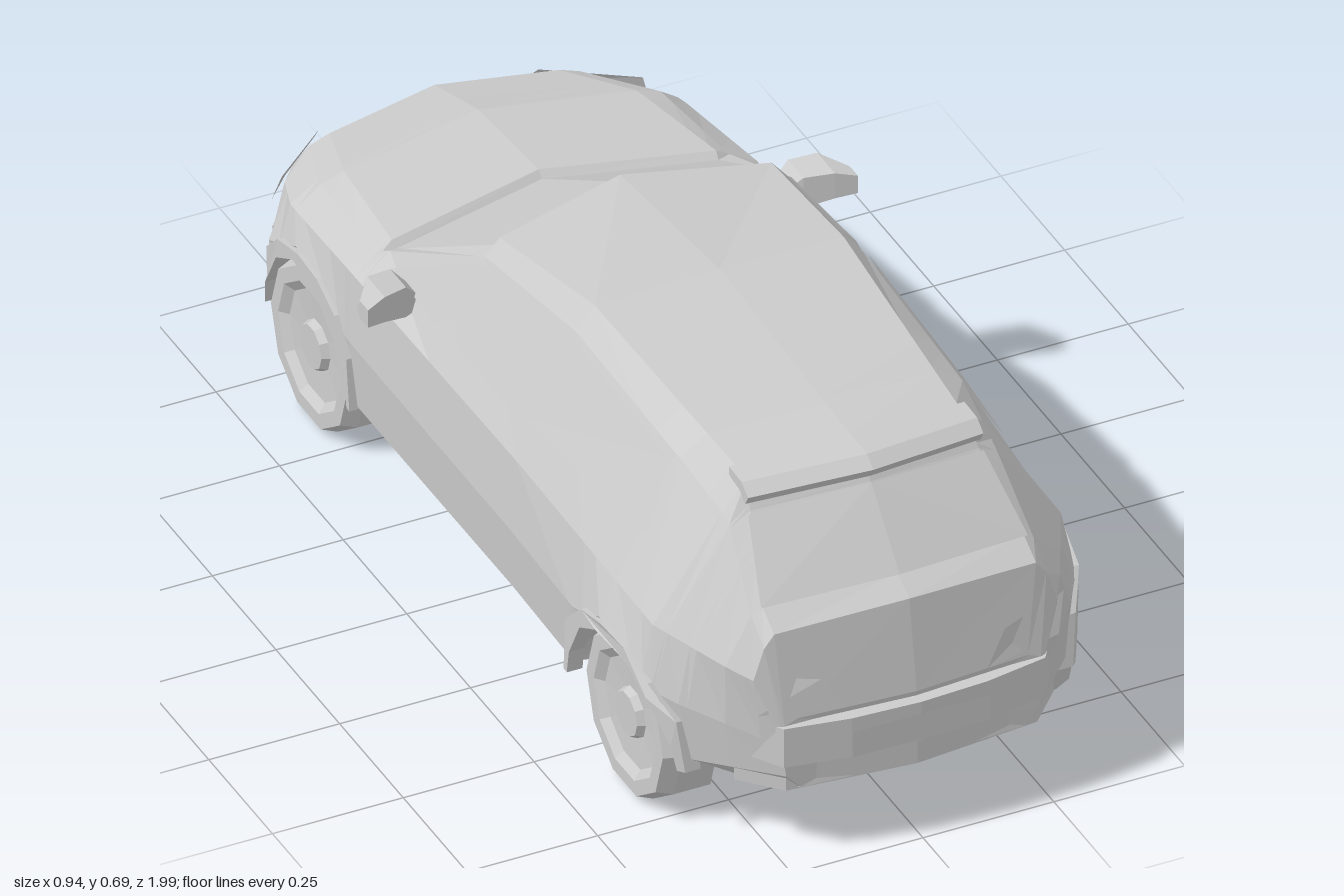
import * as THREE from 'three';

const grey = new THREE.MeshStandardMaterial({ color: 0xcccccc, flatShading: true, side: THREE.DoubleSide });
const AXLES = [-0.6, 0.64];

// piecewise linear curve through [z, value] keys
function curve(keys) {
  return z => {
    if (z <= keys[0][0]) return keys[0][1];
    for (let i = 1; i < keys.length; i++) {
      const [z0, a] = keys[i - 1], [z1, b] = keys[i];
      if (z <= z1) return a + (b - a) * (z - z0) / (z1 - z0);
    }
    return keys[keys.length - 1][1];
  };
}

// body curves along the length: half widths and heights
const floorY = curve([[-0.97, 0.115], [-0.77, 0.1], [-0.42, 0.115], [0.46, 0.125], [0.8, 0.13], [0.96, 0.145]]);
const width = curve([[-0.97, 0.21], [-0.9, 0.285], [-0.82, 0.35], [-0.77, 0.39], [-0.4, 0.402], [0.3, 0.405], [0.6, 0.418], [0.75, 0.41], [0.79, 0.395], [0.89, 0.31], [0.96, 0.25]]);
const midY = curve([[-0.97, 0.22], [-0.77, 0.27], [0.79, 0.28], [0.96, 0.24]]);
const beltX = curve([[-0.97, 0.205], [-0.9, 0.275], [-0.82, 0.335], [-0.72, 0.372], [-0.45, 0.388], [0.74, 0.39], [0.88, 0.32], [0.93, 0.29], [0.96, 0.25]]);
const beltY = curve([[-0.97, 0.27], [-0.88, 0.33], [-0.72, 0.37], [-0.45, 0.4], [0.2, 0.41], [0.74, 0.4], [0.93, 0.37], [0.96, 0.27]]);
const railX = curve([[-0.97, 0.2], [-0.88, 0.26], [-0.7, 0.325], [-0.45, 0.335], [-0.13, 0.287], [0.2, 0.275], [0.6, 0.27], [0.76, 0.255], [0.88, 0.27], [0.93, 0.27], [0.96, 0.245]]);
const railY = curve([[-0.97, 0.28], [-0.88, 0.36], [-0.7, 0.41], [-0.45, 0.43], [-0.13, 0.6], [0.2, 0.645], [0.6, 0.625], [0.76, 0.59], [0.88, 0.47], [0.93, 0.43], [0.96, 0.28]]);
const edgeX = curve([[-0.97, 0.18], [-0.88, 0.22], [-0.7, 0.28], [-0.45, 0.31], [-0.13, 0.26], [0.2, 0.238], [0.74, 0.21], [0.88, 0.25], [0.93, 0.25], [0.96, 0.22]]);
// the screens sit a small step below the bonnet and roof
const edgeY = curve([[-0.97, 0.29], [-0.88, 0.375], [-0.7, 0.425], [-0.45, 0.445], [-0.437, 0.434], [-0.145, 0.608], [-0.13, 0.632], [0.2, 0.687], [0.74, 0.652], [0.77, 0.605], [0.88, 0.485], [0.93, 0.455], [0.96, 0.29]]);
const crownY = curve([[-0.97, 0.3], [-0.94, 0.33], [-0.88, 0.385], [-0.7, 0.44], [-0.45, 0.462], [-0.437, 0.45], [-0.145, 0.624], [-0.13, 0.648], [0.2, 0.692], [0.74, 0.662], [0.77, 0.615], [0.88, 0.49], [0.93, 0.465], [0.96, 0.29]]);
const bow = curve([[-0.97, -0.02], [-0.88, -0.04], [-0.45, -0.06], [-0.13, -0.06], [0.2, 0], [0.74, 0.025], [0.96, 0.015]]);

// wheel opening as [distance from axle, height]
const ARCH = [[-0.185, 0], [-0.172, 0.2], [-0.125, 0.28], [-0.055, 0.318], [0.055, 0.318], [0.125, 0.28], [0.172, 0.2], [0.185, 0]];
const archY = curve(ARCH);

function section(z) {
  const axle = AXLES.find(a => Math.abs(z - a) < 0.186);
  const fy = floorY(z), w = width(z), c = z + bow(z);
  const opening = axle === undefined ? 0 : archY(z - axle);
  const sill = Math.max(fy + 0.03, opening);
  const inner = axle === undefined ? w - 0.035 : 0.28;
  const half = [
    [0, fy, c], [inner, fy, z], [inner, Math.max(fy + 0.002, opening), z], [w - 0.008, sill, z],
    [w, Math.max(midY(z), sill + 0.012), z], [beltX(z), beltY(z), z],
    [railX(z), railY(z), z], [edgeX(z), edgeY(z), z], [0, crownY(z), c],
  ];
  return half.concat(half.slice(1, -1).reverse().map(([x, y, d]) => [-x, y, d]));
}

function surface(name, triangles) {
  const g = new THREE.BufferGeometry();
  g.setAttribute('position', new THREE.Float32BufferAttribute(triangles.flat(2), 3));
  g.computeVertexNormals();
  const m = new THREE.Mesh(g, grey);
  m.name = name;
  return m;
}

// closed skin through rings ordered towards +z, with fan caps
function loft(name, rings) {
  const t = [], n = rings[0].length;
  const mid = r => [0, 1, 2].map(k => r.reduce((s, p) => s + p[k], 0) / n);
  const first = rings[0], last = rings[rings.length - 1];
  for (let j = 0; j < n; j++) {
    const k = (j + 1) % n;
    for (let i = 0; i + 1 < rings.length; i++) {
      const a = rings[i], b = rings[i + 1];
      t.push([a[j], a[k], b[k]], [a[j], b[k], b[j]]);
    }
    t.push([mid(first), first[k], first[j]], [mid(last), last[j], last[k]]);
  }
  return surface(name, t);
}

// flat polygon as a fan from its first corner
const panel = (name, p) => surface(name, p.slice(2).map((c, i) => [p[0], p[i + 1], c]));
const flip = p => p.map(([x, y, z]) => [-x, y, z]).reverse();
// right-half outline completed to a symmetric one
const whole = p => p.concat(flip(p).filter(q => q[0] !== 0));

// point on the sloping cabin side
function onSide([z, y]) {
  const f = (y - beltY(z)) / (railY(z) - beltY(z));
  return [beltX(z) + f * (railX(z) - beltX(z)) + 0.005, y + 0.002, z];
}

// plan outline [x, z] of the +x half, extruded between two heights
function slab(name, half, y0, y1) {
  const pts = half.concat(half.filter(p => p[0] !== 0).map(([x, z]) => [-x, z]).reverse());
  const g = new THREE.ExtrudeGeometry(new THREE.Shape(pts.map(p => new THREE.Vector2(...p))), { depth: y1 - y0, bevelEnabled: false });
  g.rotateX(Math.PI / 2).translate(0, y1, 0);
  const m = new THREE.Mesh(g, grey);
  m.name = name;
  return m;
}

function wheel(side, z) {
  const g = new THREE.Group();
  g.name = 'wheel';
  const P = (r, y) => new THREE.Vector2(r, y);
  // tyre with a chamfered shoulder and a dished rim
  const tyre = new THREE.LatheGeometry([P(0, -0.05), P(0.162, -0.05), P(0.162, 0.02), P(0.15, 0.05), P(0.122, 0.05), P(0.105, 0.036), P(0, 0.03)], 10);
  const hub = new THREE.CylinderGeometry(0.042, 0.05, 0.018, 10).translate(0, 0.038, 0);
  for (const [name, geo] of [['tyre', tyre], ['hub', hub]]) {
    const m = new THREE.Mesh(geo, grey);
    m.name = name;
    g.add(m);
  }
  g.rotation.z = -side * Math.PI / 2;
  g.position.set(side * 0.345, 0.154, z);
  return g;
}

// raised rim round the wheel opening, following the body's plan curve
function archFlare(side, axle) {
  const outer = [[-0.19, 0.14], [-0.182, 0.25], [-0.115, 0.31], [-0.03, 0.332], [0.05, 0.33], [0.125, 0.3], [0.175, 0.24], [0.188, 0.14]];
  const inner = [[-0.176, 0.14], ...ARCH.slice(1, -1).map(([d, y]) => [d * 0.97, y - 0.012]), [0.176, 0.14]];
  const shape = new THREE.Shape([...outer, ...inner.reverse()].map(([d, y]) => new THREE.Vector2(-d, y)));
  const g = new THREE.ExtrudeGeometry(shape, { depth: 0.03, bevelEnabled: false });
  g.rotateY(Math.PI / 2).translate(-0.015, 0, axle);
  const p = g.attributes.position;
  for (let i = 0; i < p.count; i++) p.setX(i, p.getX(i) + side * (width(p.getZ(i)) - 0.007));
  const m = new THREE.Mesh(g, grey);
  m.name = 'archFlare';
  return m;
}

export function createModel() {
  const car = new THREE.Group();
  car.name = 'hatchback';

  // main shell with open wheel wells
  const stations = [-0.97, -0.94, -0.9, -0.88, -0.82, -0.7, -0.45, -0.437, -0.145, -0.13, 0.2, 0.6, 0.74, 0.77, 0.88, 0.93, 0.96];
  for (const a of AXLES) stations.push(...ARCH.map(p => a + p[0]));
  stations.sort((a, b) => a - b);
  car.add(loft('body', stations.map(section)));

  // side windows
  const frontWindow = [[0.155, 0.635], [-0.13, 0.588], [-0.37, 0.445], [0.11, 0.465]].map(onSide);
  const rearWindow = [[0.2, 0.635], [0.58, 0.615], [0.62, 0.5], [0.18, 0.475]].map(onSide);
  for (const f of [p => p, flip]) {
    car.add(panel('frontSideWindow', f(frontWindow)), panel('rearSideWindow', f(rearWindow)));
    // head and tail lamps
    car.add(panel('headlamp', f([[0.2, 0.3, -0.98], [0.21, 0.34, -0.943], [0.345, 0.365, -0.81], [0.36, 0.315, -0.82], [0.29, 0.29, -0.91]])));
    car.add(panel('tailLamp', f([[0.135, 0.297, 0.976], [0.175, 0.36, 0.962], [0.31, 0.373, 0.916], [0.288, 0.303, 0.942]])));
  }
  car.add(panel('rearScreen', whole([[0, 0.615, 0.798], [0.225, 0.602, 0.776], [0.255, 0.485, 0.888], [0, 0.492, 0.908]])));

  // thin roof spoiler above the rear screen
  const wing = (x, z0, z1, y) => [[x, y - 0.025, z0], [x, y - 0.038, z1 - 0.01], [x, y - 0.02, z1], [x, y - 0.002, z1 - 0.025], [x, y, z0]];
  const spoiler = [wing(-0.225, 0.7, 0.775, 0.656), wing(0, 0.72, 0.805, 0.666), wing(0.225, 0.7, 0.775, 0.656)];
  car.add(loft('spoiler', spoiler.map(r => r.slice().reverse()).reverse()));

  // rear bumper and number plate
  car.add(slab('rearBumper', [[0, 0.995], [0.13, 0.988], [0.25, 0.967], [0.3, 0.89], [0.27, 0.85], [0, 0.85]], 0.2, 0.28));
  car.add(slab('rearBumperLower', [[0, 0.978], [0.24, 0.955], [0.305, 0.885], [0.27, 0.85], [0, 0.85]], 0.142, 0.2));
  car.add(panel('rearPlate', [[-0.13, 0.205, 0.997], [0.13, 0.205, 0.997], [0.13, 0.257, 0.997], [-0.13, 0.257, 0.997]]));

  // front bumper, lip and number plate
  const nose = [[0, -0.992], [0.13, -0.985], [0.215, -0.965], [0.3, -0.885], [0.36, -0.815], [0.3, -0.8], [0, -0.8]];
  car.add(slab('frontBumper', nose, 0.205, 0.265));
  car.add(slab('frontLip', nose.map(([x, z]) => [x * 1.02, z]), 0.11, 0.14));
  car.add(panel('frontPlate', [[-0.13, 0.21, -0.996], [-0.13, 0.26, -0.996], [0.13, 0.26, -0.996], [0.13, 0.21, -0.996]]));

  // wheels, arches and mirrors
  for (const side of [-1, 1]) {
    for (const z of AXLES) car.add(wheel(side, z), archFlare(side, z));
    const ring = (x, y0, y1, z0, z1) => [[x, y0, z0], [x, (y0 + y1) / 2, z0 - 0.012], [x, y1, z0], [x, y1, z1], [x, y0, z1]];
    const rings = [ring(0.345, 0.42, 0.45, -0.31, -0.275), ring(0.38, 0.428, 0.49, -0.312, -0.25), ring(0.43, 0.445, 0.497, -0.3, -0.23), ring(0.468, 0.452, 0.488, -0.25, -0.218)];
    car.add(loft('mirror', (side > 0 ? rings : rings.map(flip)).map(r => r.slice().reverse())));
  }
  return car;
}
